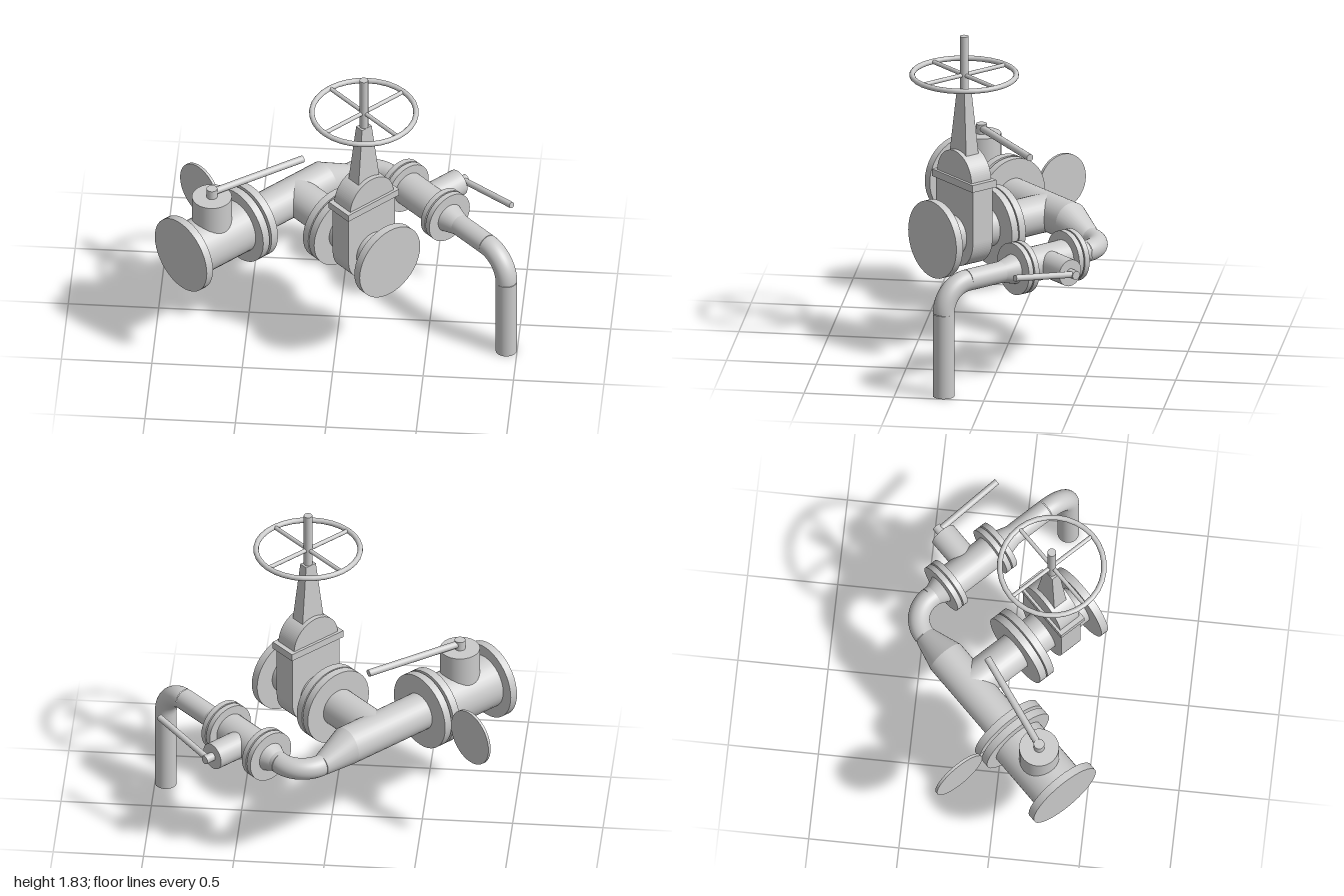
import * as THREE from 'three';

const mat = new THREE.MeshStandardMaterial({ color: 0xcccccc });
const UP = new THREE.Vector3(0, 1, 0);
const D = new THREE.Vector3(1, 0, -1).normalize(); // main line direction
const E = new THREE.Vector3(1, 0, 1).normalize(); // branch and outlet direction
const V = (x, y, z) => new THREE.Vector3(x, y, z);
// point on a line, t units from its origin
const along = (origin, dir, t) => origin.clone().addScaledVector(dir, t);

function add(parent, name, geometry) {
  const mesh = new THREE.Mesh(geometry, mat);
  mesh.name = name;
  parent.add(mesh);
  return mesh;
}

function group(parent, name) {
  const g = new THREE.Group();
  g.name = name;
  parent.add(g);
  return g;
}

// round bar or cone from a to b
function rod(parent, name, a, b, ra, rb = ra, sides = 32) {
  const dir = b.clone().sub(a);
  const mesh = add(parent, name, new THREE.CylinderGeometry(rb, ra, dir.length(), sides));
  mesh.position.copy(a).add(b).multiplyScalar(0.5);
  mesh.quaternion.setFromUnitVectors(UP, dir.normalize());
  return mesh;
}

// quarter bend around a corner, turning from direction p to direction q
function bend(parent, name, corner, p, q, radius, r) {
  const centre = along(along(corner, p, -radius), q, radius);
  const pts = [];
  for (let i = 0; i <= 12; i++) {
    const a = (i / 12) * Math.PI / 2;
    pts.push(along(along(centre, q, -radius * Math.cos(a)), p, radius * Math.sin(a)));
  }
  return add(parent, name, new THREE.TubeGeometry(new THREE.CatmullRomCurve3(pts), 24, r, 32));
}

// tapered block, base on y = 0
function taper(w0, d0, w1, d1, h) {
  const g = new THREE.BoxGeometry(1, h, 1).translate(0, h / 2, 0);
  const p = g.attributes.position;
  for (let i = 0; i < p.count; i++) {
    const top = p.getY(i) > h / 2;
    p.setX(i, p.getX(i) * (top ? w1 : w0));
    p.setZ(i, p.getZ(i) * (top ? d1 : d0));
  }
  g.computeVertexNormals();
  return g;
}

function slab(shape, depth) {
  return new THREE.ExtrudeGeometry(shape, { depth, bevelEnabled: false, curveSegments: 24 })
    .translate(0, 0, -depth / 2);
}

export function createModel() {
  const root = new THREE.Group();
  root.name = 'valveAssembly';
  const Y = 0.69, YS = 0.64, R = 0.108, RS = 0.06, BEND = 0.16;

  // Main line, starting at the open flange
  const M = V(-0.847, Y, 0.404);
  const m = (t) => along(M, D, t);
  const main = group(root, 'mainValve');
  rod(main, 'inletFlange', m(0), m(0.045), 0.22, 0.22, 40);
  rod(main, 'mainValveBody', m(0.04), m(0.42), 0.155);
  rod(main, 'mainValveFlange', m(0.411), m(0.456), 0.22, 0.22, 40);
  rod(main, 'pipeFlange', m(0.472), m(0.517), 0.22, 0.22, 40);
  const neck = m(0.226);
  const level = (y) => V(neck.x, y, neck.z);
  rod(main, 'stemHousing', level(Y), level(0.985), 0.11);
  rod(main, 'stem', level(0.98), level(1.04), 0.03, 0.03, 20);
  rod(main, 'handle', level(1.015), V(-0.21, 1.015, -0.092), 0.02, 0.02, 16);

  // Paired blind plate: one disc clamped in the joint, one outside
  const blind = group(root, 'blindPlate');
  for (const [name, off] of [['clampedDisc', 0], ['outerDisc', -0.377]]) {
    rod(blind, name, along(m(0.456), E, off), along(m(0.472), E, off), 0.16, 0.16, 40);
  }
  const tab = add(blind, 'linkTab', new THREE.BoxGeometry(0.016, 0.07, 0.12));
  tab.position.copy(along(m(0.464), E, -0.2));
  tab.rotation.y = Math.PI / 4;

  // Header pipe and flat-bottomed reducer
  rod(root, 'headerPipe', m(0.5), m(1.045), R);
  const corner = V(0.133, YS, -0.576);
  const bendStart = along(corner, D, -BEND);
  const axis = bendStart.clone().sub(m(1.045));
  const reducer = add(root, 'reducer', new THREE.CylinderGeometry(RS, R, 1, 32).translate(0, 0.5, 0));
  reducer.applyMatrix4(new THREE.Matrix4().makeBasis(E, axis, UP).setPosition(m(1.045)));
  // keep the offset cone in the vertices so the node transform stays plain
  reducer.geometry.applyMatrix4(new THREE.Matrix4().makeBasis(E, axis, UP).setPosition(m(1.045)));
  reducer.position.set(0, 0, 0);
  reducer.quaternion.identity();
  reducer.scale.set(1, 1, 1);
  bend(root, 'headerElbow', corner, D, E, BEND, RS);

  // Small valve on the outlet line
  const s = (t) => along(corner, E, t);
  const small = group(root, 'outletValve');
  const c1 = 0.277, c2 = 0.625, mid = (c1 + c2) / 2;
  rod(small, 'inletPipe', s(BEND), s(c1), RS);
  rod(small, 'inletNeck', s(c1 - 0.09), s(c1 - 0.03), RS, 0.085);
  rod(small, 'outletValveBody', s(c1), s(c2), 0.097);
  for (const c of [c1, c2]) {
    rod(small, 'smallFlange', s(c - 0.036), s(c - 0.004), 0.147, 0.147, 40);
    rod(small, 'smallFlange', s(c + 0.004), s(c + 0.036), 0.147, 0.147, 40);
    rod(small, 'gasket', s(c - 0.005), s(c + 0.005), 0.1);
  }
  rod(small, 'stemHousing', s(mid), along(s(mid), D, 0.245), 0.076);
  rod(small, 'stem', along(s(mid), D, 0.24), along(s(mid), D, 0.3), 0.025, 0.025, 20);
  rod(small, 'handle', along(s(mid), D, 0.277), V(0.94, 0.703, -0.165), 0.018, 0.018, 16);

  // Outlet pipe, turning down to the ground
  const drop = V(0.94, YS, 0.231);
  rod(root, 'outletNeck', s(c2 + 0.03), s(c2 + 0.12), 0.085, RS);
  rod(root, 'outletPipe', s(c2 + 0.03), along(drop, E, -BEND), RS);
  bend(root, 'outletElbow', drop, E, V(0, -1, 0), BEND, RS);
  rod(root, 'downPipe', V(drop.x, YS - BEND, drop.z), V(drop.x, 0, drop.z), RS);

  // Branch line from the tee
  const T = V(-0.258, Y, -0.185);
  const b = (t) => along(T, E, t);
  rod(root, 'branchPipe', b(0), b(0.34), R);
  const gate = group(root, 'gateValve');
  rod(gate, 'branchFlange', b(0.32), b(0.364), 0.22, 0.22, 40);
  rod(gate, 'gasket', b(0.363), b(0.372), 0.16);
  rod(gate, 'gateInletFlange', b(0.371), b(0.415), 0.22, 0.22, 40);
  rod(gate, 'gateNeck', b(0.4), b(0.77), 0.112);
  rod(gate, 'gateOutletFlange', b(0.755), b(0.8), 0.22, 0.22, 40);

  // Gate housing: local z runs along the branch, local x across it
  const housing = group(gate, 'gateHousing');
  housing.position.set(0.152, 0, 0.225);
  housing.rotation.y = Math.PI / 4;
  const body = new THREE.Shape();
  body.moveTo(0.169, 1.0);
  body.lineTo(-0.169, 1.0);
  body.lineTo(-0.169, 0.68);
  body.absarc(0, 0.68, 0.169, Math.PI, Math.PI * 2, false);
  add(housing, 'gateBody', slab(body, 0.135));
  add(housing, 'collar', new THREE.BoxGeometry(0.37, 0.042, 0.166)).position.y = 1.005;
  const dome = new THREE.Shape();
  dome.absarc(0, 1.02, 0.157, 0, Math.PI, false);
  add(housing, 'bonnet', slab(dome, 0.135));
  add(housing, 'yoke', taper(0.15, 0.085, 0.07, 0.05, 0.355)).position.y = 1.155;
  rod(housing, 'spindle', V(0, 1.5, 0), V(0, 1.83, 0), 0.024, 0.024, 20);

  // Handwheel
  const wheel = group(housing, 'handwheel');
  wheel.position.y = 1.605;
  add(wheel, 'rim', new THREE.TorusGeometry(0.288, 0.015, 12, 32)).rotation.x = Math.PI / 2;
  rod(wheel, 'spoke', V(-0.288, 0, 0), V(0.288, 0, 0), 0.012, 0.012, 12);
  rod(wheel, 'spoke', V(0, 0, -0.288), V(0, 0, 0.288), 0.012, 0.012, 12);
  return root;
}
